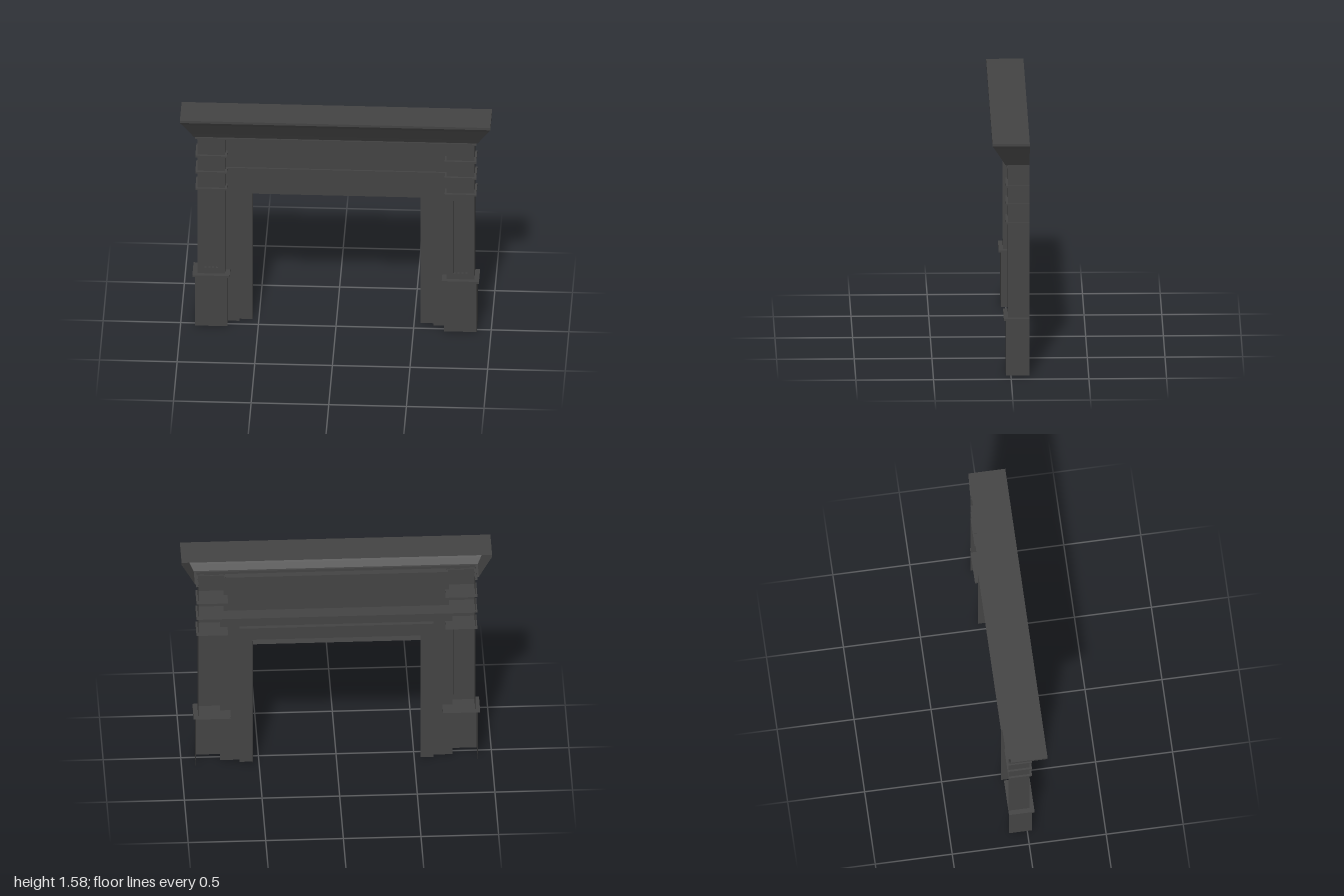
import * as THREE from 'three';
import { mergeGeometries } from 'three/addons/utils/BufferGeometryUtils.js';

const BACK = -0.12, PANEL_Z = -0.04, FRAME_Z = -0.067, SHAFT_Z = 0.017;
const FACES = ['right', 'left', 'top', 'bottom', 'front', 'back'];

// Box keeping only the listed faces
function shell(x0, x1, y0, y1, z0, z1, faces) {
  const g = new THREE.BoxGeometry(x1 - x0, y1 - y0, z1 - z0);
  const all = Array.from(g.index.array);
  const kept = FACES.flatMap((f, i) => (faces.includes(f) ? all.slice(i * 6, i * 6 + 6) : []));
  g.setIndex(kept);
  g.translate((x0 + x1) / 2, (y0 + y1) / 2, (z0 + z1) / 2);
  return g;
}

// Flat-shaded surface through rows of points
function loft(rows) {
  const pos = [];
  for (let i = 0; i < rows.length - 1; i++) {
    for (let j = 0; j < rows[i].length - 1; j++) {
      const [a, b, c, d] = [rows[i][j], rows[i][j + 1], rows[i + 1][j + 1], rows[i + 1][j]];
      pos.push(...a, ...b, ...c, ...a, ...c, ...d);
    }
  }
  const g = new THREE.BufferGeometry();
  g.setAttribute('position', new THREE.Float32BufferAttribute(pos, 3));
  g.computeVertexNormals();
  return g;
}

const rect = (path, x0, x1, y0, y1) =>
  path.moveTo(x0, y0).lineTo(x1, y0).lineTo(x1, y1).lineTo(x0, y1).closePath();

export function createModel() {
  const model = new THREE.Group();
  model.name = 'fireplaceSurround';
  const material = new THREE.MeshStandardMaterial({ color: 0x444444, side: THREE.DoubleSide });

  function add(parent, name, ...geometries) {
    const parts = geometries.map((g) => {
      const p = g.index ? g.toNonIndexed() : g;
      p.deleteAttribute('uv');
      return p;
    });
    const mesh = new THREE.Mesh(mergeGeometries(parts), material);
    mesh.name = name;
    parent.add(mesh);
  }

  // U-shaped flat face around the opening, with a return running back to zBack
  function portal(name, inX, inY, outX, outY, z, zBack) {
    const shape = new THREE.Shape();
    [[-outX, 0], [-inX, 0], [-inX, inY], [inX, inY], [inX, 0], [outX, 0], [outX, outY], [-outX, outY]]
      .forEach(([x, y], i) => (i ? shape.lineTo(x, y) : shape.moveTo(x, y)));
    const face = new THREE.ShapeGeometry(shape).translate(0, 0, z);
    const row = (d) => [[-inX, 0, d], [-inX, inY, d], [inX, inY, d], [inX, 0, d]];
    add(model, name, face, loft([row(zBack), row(z)]));
  }
  portal('openingFrame', 0.54, 0.935, 0.625, 1.023, FRAME_Z, BACK);
  portal('surroundPanel', 0.625, 1.023, 0.75, 1.14, PANEL_Z, FRAME_Z);

  // Frieze above the opening, and the ledge below it
  add(model, 'frieze', shell(-0.725, 0.725, 1.14, 1.4, BACK, PANEL_Z, ['front']));
  add(model, 'friezeLedge', shell(-0.72, 0.72, 1.134, 1.146, BACK, -0.028, ['front', 'top', 'bottom']));
  add(model, 'corniceSoffit', shell(-0.72, 0.72, 1.385, 1.4, PANEL_Z, SHAFT_Z, ['bottom']));

  // Pilasters: hollow plinth, fluted shaft and projecting bands, open at the back
  const open = ['right', 'left', 'top', 'bottom', 'front'];
  for (const side of [1, -1]) {
    const pilaster = new THREE.Group();
    pilaster.name = side > 0 ? 'leftPilaster' : 'rightPilaster';
    pilaster.position.x = side * 0.803;
    pilaster.scale.x = side;
    model.add(pilaster);

    add(pilaster, 'plinth',
      shell(-0.105, 0.105, 0, 0.37, BACK, 0.032, ['right', 'front']),
      shell(-0.105, 0.105, 0, 0.37, PANEL_Z, 0.032, ['left']));
    add(pilaster, 'plinthCap', shell(-0.12, 0.12, 0.368, 0.382, BACK, 0.046, open));

    const front = new THREE.Shape();
    rect(front, -0.089, 0.089, 0.38, 1.39);
    const flutes = [];
    for (const x of [-0.0375, -0.0125, 0.0125, 0.0375]) {
      const [x0, x1, y0, y1] = [x - 0.0065, x + 0.0065, 0.425, 0.965];
      front.holes.push(rect(new THREE.Path(), x0, x1, y0, y1));
      // Groove walls and floor
      flutes.push(shell(x0, x1, y0, y1, SHAFT_Z - 0.013, SHAFT_Z, ['right', 'left', 'top', 'bottom', 'back']));
    }
    add(pilaster, 'shaft',
      new THREE.ShapeGeometry(front).translate(0, 0, SHAFT_Z),
      shell(-0.089, 0.089, 0.38, 1.39, BACK, SHAFT_Z, ['right']),
      shell(-0.089, 0.089, 0.38, 1.39, PANEL_Z, SHAFT_Z, ['left']));
    add(pilaster, 'flutes', ...flutes);

    for (const y of [1.016, 1.14, 1.26]) {
      add(pilaster, 'band', shell(-0.102, 0.102, y - 0.006, y + 0.006, BACK, 0.032, open));
    }
  }

  // Cornice: moulding profile (half width, height) carried round three sides
  const profile = [
    [0.89, 1.385], [0.906, 1.385], [0.906, 1.396], [0.9, 1.396], [0.9, 1.408],
    [0.915, 1.408], [0.935, 1.445], [0.986, 1.535], [1, 1.558], [1, 1.575],
  ];
  add(model, 'cornice', loft(profile.map(([h, y]) => {
    const z = h - 0.88;
    return [[-h, y, BACK], [-h, y, z], [h, y, z], [h, y, BACK]];
  })));
  add(model, 'mantelShelf', shell(-1, 1, 1.555, 1.575, BACK, 0.12, ['top']));

  return model;
}
